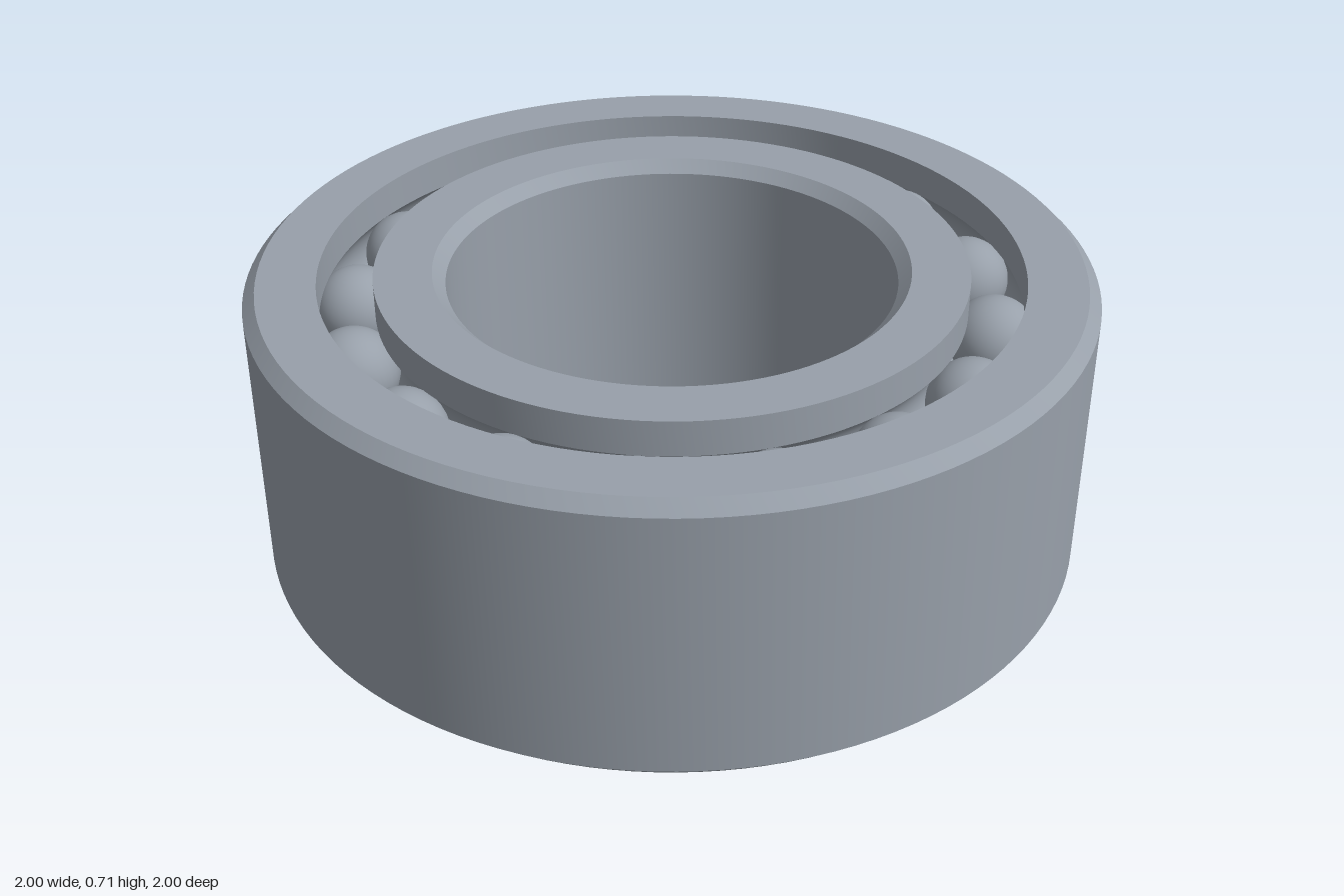
import * as THREE from 'three';
import { toCreasedNormals } from 'three/addons/utils/BufferGeometryUtils.js';

const HEIGHT = 0.715, CHAMFER = 0.03;
const PITCH = 0.765, BALL = 0.106, GAP = 0.065;
const ROWS = [0.17, HEIGHT - 0.17];
const BALLS = 16, PHASE = 0.207;

// Raceway arc; side is -1 for the inner ring (upwards), +1 for the outer ring (downwards)
function groove(y, side) {
  const half = Math.acos(GAP / BALL), points = [];
  for (let i = 0; i <= 12; i++) {
    const t = half * (i / 6 - 1);
    points.push([PITCH + side * BALL * Math.cos(t), y - side * BALL * Math.sin(t)]);
  }
  return points;
}

// Closed counter-clockwise profile turned about the y axis
function ring(name, profile, material) {
  const points = [...profile, profile[0]].map(([r, y]) => new THREE.Vector2(r, y));
  const geometry = toCreasedNormals(new THREE.LatheGeometry(points, 128), 0.5);
  const mesh = new THREE.Mesh(geometry, material);
  mesh.name = name;
  return mesh;
}

export function createModel() {
  const group = new THREE.Group();
  group.name = 'ballBearing';
  const steel = new THREE.MeshStandardMaterial({ color: 0x98a0aa });
  steel.name = 'steel';

  // Outer ring: chamfered outside, two raceways inside
  const wallOut = PITCH + GAP;
  group.add(ring('outerRing', [
    [wallOut, 0], [1 - CHAMFER, 0], [1, CHAMFER],
    [1, HEIGHT - CHAMFER], [1 - CHAMFER, HEIGHT], [wallOut, HEIGHT],
    ...groove(ROWS[1], 1), ...groove(ROWS[0], 1),
  ], steel));

  // Inner ring: chamfered bore, two raceways outside
  const bore = 0.533, wallIn = PITCH - GAP;
  group.add(ring('innerRing', [
    [wallIn, 0],
    ...groove(ROWS[0], -1), ...groove(ROWS[1], -1),
    [wallIn, HEIGHT], [bore + CHAMFER, HEIGHT], [bore, HEIGHT - CHAMFER],
    [bore, CHAMFER], [bore + CHAMFER, 0],
  ], steel));

  // Two rows of balls
  const ballGeometry = new THREE.SphereGeometry(BALL, 32, 20);
  ROWS.forEach((y, row) => {
    const balls = new THREE.Group();
    balls.name = row ? 'upperBalls' : 'lowerBalls';
    for (let i = 0; i < BALLS; i++) {
      const a = PHASE + (i / BALLS) * Math.PI * 2;
      const ball = new THREE.Mesh(ballGeometry, steel);
      ball.name = 'ball';
      ball.position.set(PITCH * Math.cos(a), y, PITCH * Math.sin(a));
      balls.add(ball);
    }
    group.add(balls);
  });

  return group;
}
